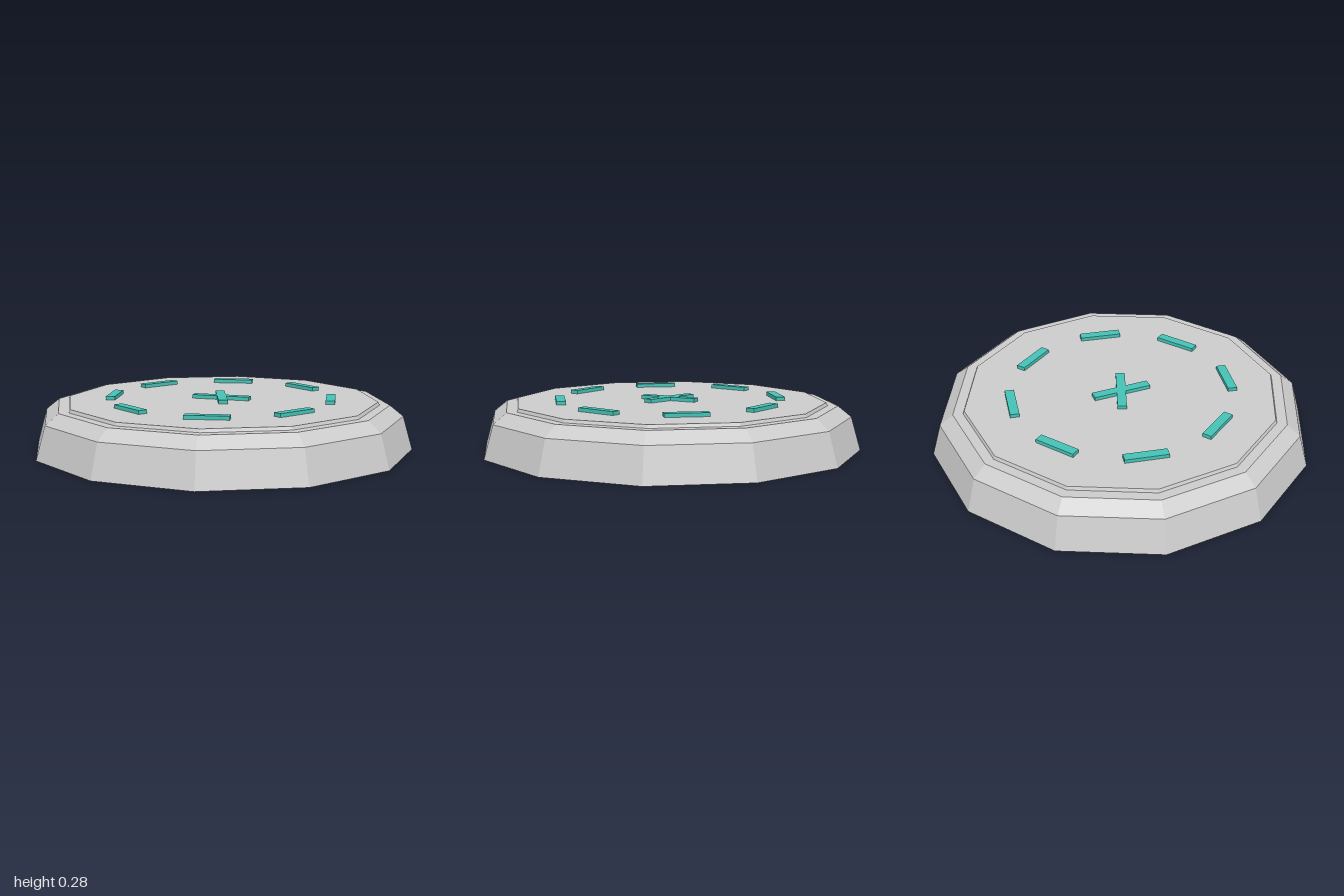
import * as THREE from 'three';

const SIDES = 12;

export function createModel() {
  const model = new THREE.Group();
  const grey = new THREE.MeshStandardMaterial({ color: 0xcccccc, flatShading: true });
  const teal = new THREE.MeshStandardMaterial({ color: 0x45c1b5 });

  // Twelve-sided solid from [distance to flat side, height] pairs
  const addPrism = (name, profile) => {
    const points = profile.map(([d, y]) => new THREE.Vector2(d / Math.cos(Math.PI / SIDES), y));
    const geometry = new THREE.LatheGeometry(points, SIDES, Math.PI / SIDES);
    const mesh = new THREE.Mesh(geometry, grey);
    mesh.name = name;
    model.add(mesh);
  };

  addPrism('base', [[0, 0], [1, 0], [0.95, 0.18], [0.88, 0.238], [0, 0.238]]);
  addPrism('topPlate', [[0, 0.236], [0.828, 0.236], [0.82, 0.255], [0, 0.255]]);

  // Flat bar lying on the top plate
  const addBar = (name, length, x, z, angle) => {
    const mesh = new THREE.Mesh(new THREE.BoxGeometry(length, 0.022, 0.05), teal);
    mesh.name = name;
    mesh.position.set(x, 0.264, z);
    mesh.rotation.y = angle;
    model.add(mesh);
  };

  // Ring of eight markers, each square to its radius
  for (let i = 0; i < 8; i++) {
    const a = (i * Math.PI) / 4;
    addBar('ringMarker', 0.23, 0.594 * Math.sin(a), 0.594 * Math.cos(a), a);
  }

  // Central cross
  for (const side of [-1, 1]) {
    addBar('crossBar', 0.32, 0, 0, side * THREE.MathUtils.degToRad(35));
  }

  return model;
}
